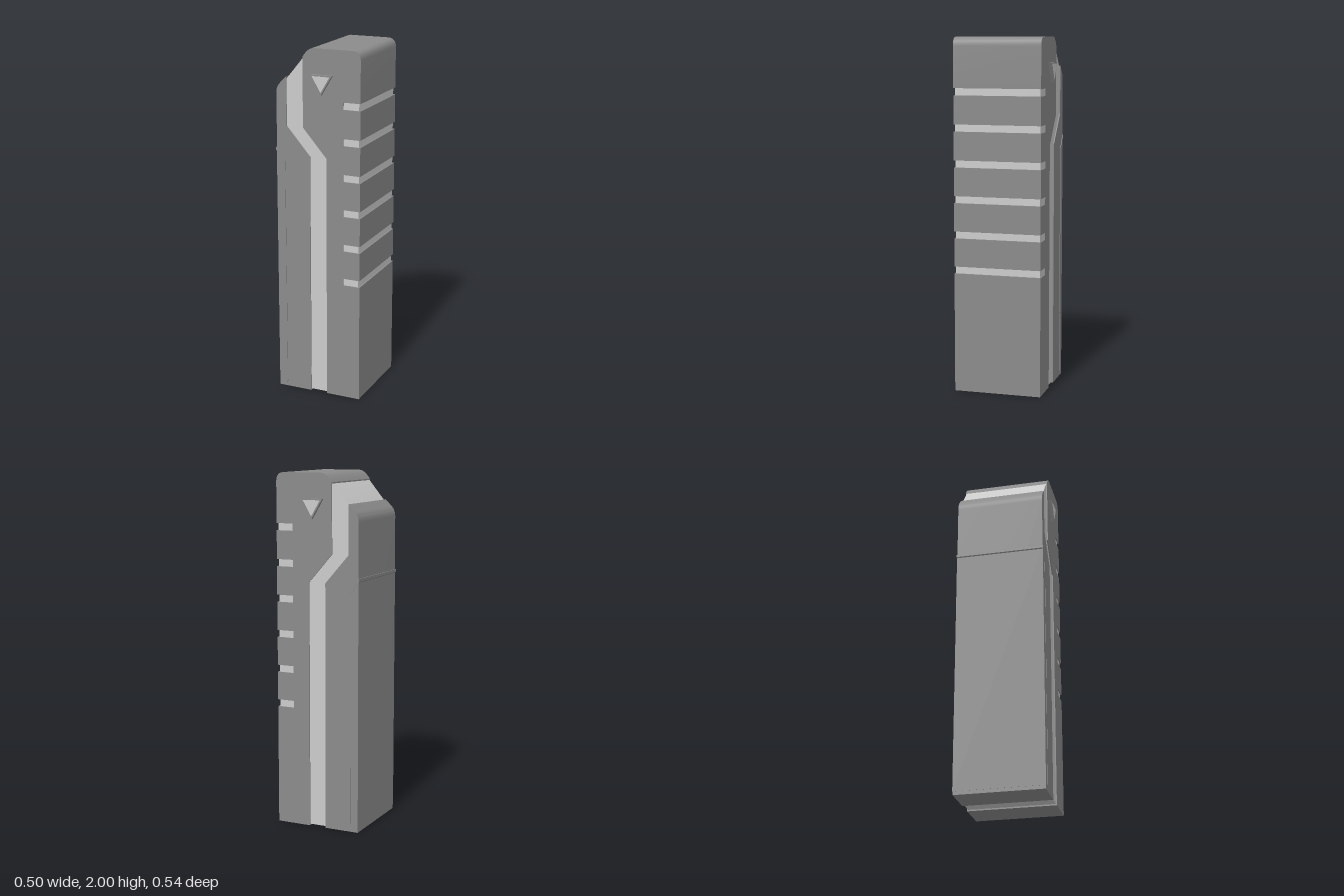
import * as THREE from 'three';
import { toCreasedNormals } from 'three/addons/utils/BufferGeometryUtils.js';

const light = new THREE.MeshStandardMaterial({ color: 0xcccccc });
const dark = new THREE.MeshStandardMaterial({ color: 0x8b8b8b });

// Outline drawn in x, y; a corner with four numbers is a curve (control point, end point).
function outline(points, Type = THREE.Shape) {
  const s = new Type();
  points.forEach((p, i) => {
    if (i === 0) s.moveTo(p[0], p[1]);
    else if (p.length === 4) s.quadraticCurveTo(...p);
    else s.lineTo(p[0], p[1]);
  });
  s.closePath();
  return s;
}

// Extrudes an outline from z0 to z1, keeping edges sharp and rounded corners smooth.
function slab(name, shape, z0, z1, material) {
  const geo = new THREE.ExtrudeGeometry(shape, { depth: z1 - z0, bevelEnabled: false, curveSegments: 8 });
  geo.translate(0, 0, z0);
  const mesh = new THREE.Mesh(toCreasedNormals(geo, 0.5), material);
  mesh.name = name;
  return mesh;
}

function triangle(inset, Type) {
  const cx = 0.025, cy = 1.823, k = 1 - inset;
  return outline([[0, -0.073], [0.065, 0.037], [-0.065, 0.037]]
    .map(([x, y]) => [cx + x * k, cy + y * k]), Type);
}

export function createModel() {
  const group = new THREE.Group();

  // Inset pale core, seen in the stripe and in the grip slots
  group.add(slab('core', outline([
    [-0.24, 0.008], [0.24, 0.008], [0.24, 1.94], [0.24, 1.99, 0.19, 1.99], [-0.03, 1.985],
    [-0.06, 1.98, -0.09, 1.943], [-0.19, 1.822], [-0.24, 1.74],
  ]), -0.244, 0.244, light));

  // Narrow casing beside the stripe
  group.add(slab('sideCasing', outline([
    [-0.25, 0], [-0.05, 0], [-0.05, 1.4], [-0.19, 1.56], [-0.19, 1.835],
    [-0.225, 1.8], [-0.25, 1.775, -0.25, 1.74],
  ]), -0.25, 0.25, dark));

  // Wide casing with six grip slots cut in its outer edge
  const wide = [[0.05, 0], [0.25, 0]];
  for (let i = 0; i < 6; i++) {
    const y = 0.7 + i * 0.2;
    wide.push([0.25, y - 0.02], [0.15, y - 0.02], [0.15, y + 0.02], [0.25, y + 0.02]);
  }
  wide.push([0.25, 1.95], [0.25, 2, 0.2, 2], [-0.025, 2], [-0.055, 2, -0.09, 1.95],
    [-0.09, 1.56], [0.05, 1.4]);
  group.add(slab('gripCasing', outline(wide), -0.25, 0.25, dark));

  // Thin cover wrapped around the narrow edge, with a raised border
  group.add(slab('edgeCover', outline([
    [-0.251, 0.02], [-0.203, 0.02], [-0.203, 1.355], [-0.251, 1.425],
  ]), -0.2515, 0.2515, dark));
  group.add(slab('coverTopRim', outline([
    [-0.255, 1.42], [-0.2, 1.345], [-0.2, 1.36], [-0.25, 1.435], [-0.255, 1.435],
  ]), -0.253, 0.253, dark));
  group.add(slab('coverSideRim', outline([
    [-0.205, 0.03], [-0.2, 0.03], [-0.2, 1.36], [-0.205, 1.36],
  ]), -0.253, 0.253, dark));

  // Triangular badge on each broad face
  for (const side of [1, -1]) {
    const badge = new THREE.Group();
    badge.name = side > 0 ? 'frontTriangle' : 'backTriangle';
    const frame = triangle(0);
    frame.holes.push(triangle(0.2, THREE.Path));
    const range = (a, b) => (side > 0 ? [a, b] : [-b, -a]);
    badge.add(slab('triangleFrame', frame, ...range(0.245, 0.268), dark));
    badge.add(slab('triangleFace', triangle(0.2), ...range(0.245, 0.27), light));
    group.add(badge);
  }
  return group;
}
